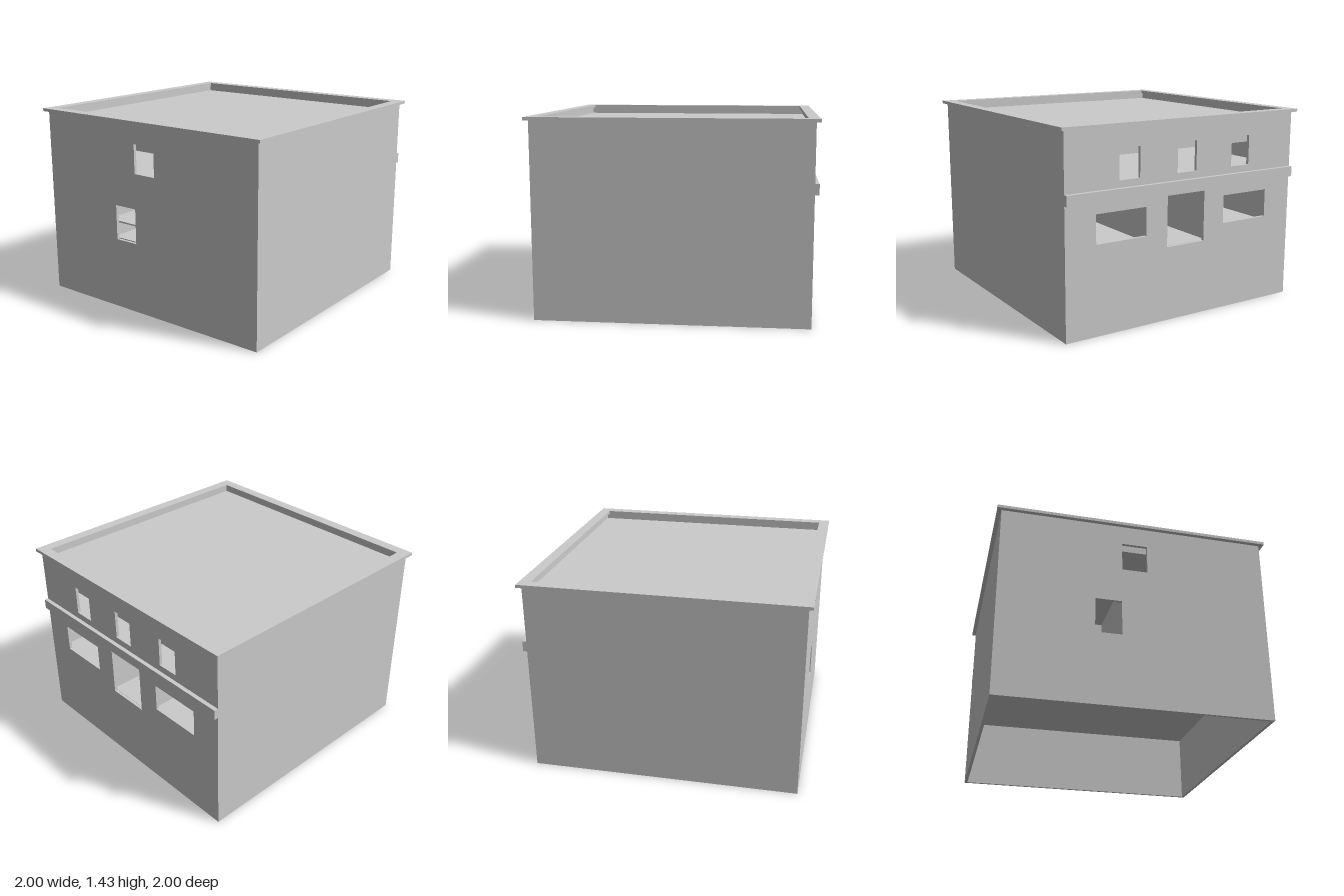
import * as THREE from 'three';

const OUT = 0.97, T = 0.022, IN = OUT - T, H = 1.41;

export function createModel() {
  const house = new THREE.Group();
  const material = new THREE.MeshStandardMaterial({ color: 0xcccccc, flatShading: true, side: THREE.DoubleSide });

  const add = (name, geometry) => {
    const mesh = new THREE.Mesh(geometry, material);
    mesh.name = name;
    house.add(mesh);
    return mesh;
  };

  // Box given by its limits on each axis
  const box = (name, x0, x1, y0, y1, z0, z1) =>
    add(name, new THREE.BoxGeometry(x1 - x0, y1 - y0, z1 - z0)
      .translate((x0 + x1) / 2, (y0 + y1) / 2, (z0 + z1) / 2));

  const rect = (Type, x0, x1, y0, y1) => new Type([
    new THREE.Vector2(x0, y0), new THREE.Vector2(x1, y0),
    new THREE.Vector2(x1, y1), new THREE.Vector2(x0, y1),
  ]);

  // Upright panel with rectangular openings, starting at z0
  const panel = (name, outline, openings, z0, depth) => {
    const shape = rect(THREE.Shape, ...outline);
    shape.holes = openings.map((o) => rect(THREE.Path, ...o));
    return add(name, new THREE.ExtrudeGeometry(shape, { depth, bevelEnabled: false }).translate(0, 0, z0));
  };

  // Outer walls
  panel('frontWall', [-OUT, OUT, 0, H], [
    [-0.29, -0.1, 0.53, 0.79],
    [-0.095, 0.09, 1.05, 1.265],
  ], IN, T);
  panel('backWall', [-OUT, OUT, 0, H], [
    [-0.16, 0.16, 0.535, 0.9],
    [-0.735, -0.337, 0.64, 0.845],
    [0.337, 0.735, 0.64, 0.845],
    ...[-0.478, 0, 0.474].map((x) => [x - 0.083, x + 0.08, 1.05, 1.265]),
  ], -OUT, T);
  for (const s of [-1, 1]) {
    const a = s * IN, b = s * OUT;
    box(s > 0 ? 'leftWall' : 'rightWall', Math.min(a, b), Math.max(a, b), 0, H, -IN, IN);
  }

  // Ledge across the back
  box('backLedge', -OUT, OUT, 0.925, 1.0, -1, -OUT);

  // Flat roof and the coping frame around it
  box('roofSlab', -IN, IN, 1.215, 1.36, -IN, IN);
  const coping = rect(THREE.Shape, -1, 1, -1, 1);
  coping.holes = [rect(THREE.Path, -0.92, 0.92, -0.92, 0.92)];
  add('roofCoping', new THREE.ExtrudeGeometry(coping, { depth: 0.022, bevelEnabled: false })
    .rotateX(-Math.PI / 2).translate(0, H, 0));

  // Ground floor slabs, leaving the stairwell corner open
  const F0 = 0.525, F1 = 0.537;
  box('backRoomFloor', -IN, IN, F0, F1, -IN, 0.285);
  box('frontRoomFloor', -0.09, IN, F0, F1, 0.315, IN);
  box('stairHallFloor', -0.7, -0.09, F0, F1, 0.305, 0.655);
  box('entryFloor', -0.34, -0.09, F0, F1, 0.655, IN);

  // Upper floor
  box('upperFloor', -IN, IN, 0.95, 1.0, -IN, IN);

  // Inner partitions
  box('crossPartition', -0.7, IN, F1, 0.95, 0.285, 0.305);
  for (const s of [-1, 1]) box('hallPartition', s * 0.2 - 0.012, s * 0.2 + 0.012, F1, 0.95, -IN, 0.285);
  box('entryPartition', -0.09, -0.07, F1, 0.95, 0.305, IN);

  return house;
}
